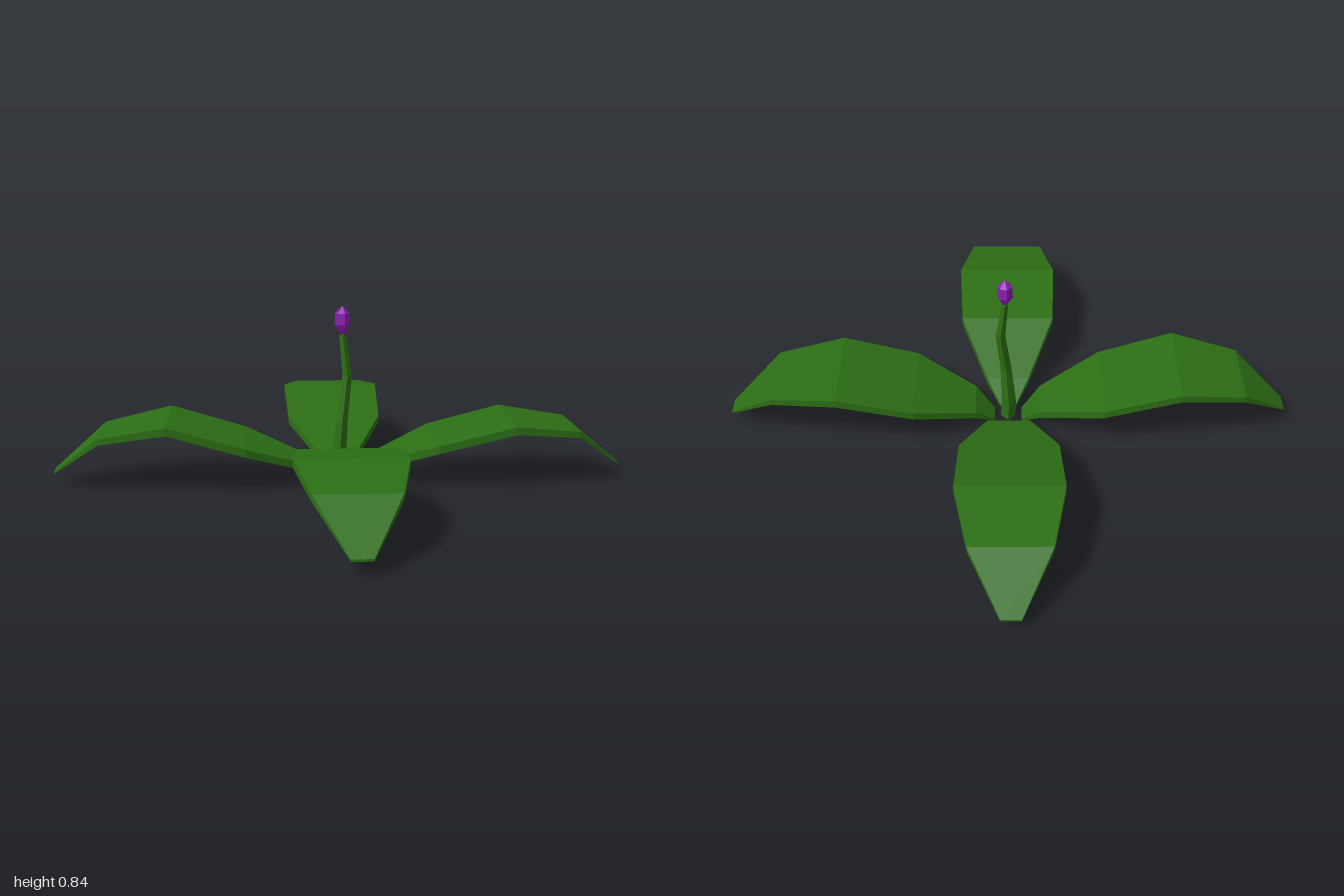
import * as THREE from 'three';

const green = new THREE.MeshStandardMaterial({ color: 0x2c6e14, flatShading: true });
const purple = new THREE.MeshStandardMaterial({ color: 0x8a1cb0, flatShading: true });

// Skins a row of four-cornered rings and closes both ends
function loft(rings) {
  const index = [];
  const quad = (a, b, c, d) => index.push(a, b, c, a, c, d);
  for (let r = 0; r < rings.length - 1; r++) {
    for (let i = 0; i < 4; i++) {
      const j = (i + 1) % 4, n = r * 4;
      quad(n + i, n + j, n + 4 + j, n + 4 + i);
    }
  }
  const e = (rings.length - 1) * 4;
  quad(0, 3, 2, 1);
  quad(e, e + 1, e + 2, e + 3);
  const geo = new THREE.BufferGeometry();
  geo.setAttribute('position', new THREE.Float32BufferAttribute(rings.flat(2), 3));
  geo.setIndex(index);
  const flat = geo.toNonIndexed();
  flat.computeVertexNormals();
  return flat;
}

// Arching slab leaf along +x; bendY and crownY are its heights at two stations
function leafGeometry(bendY, crownY) {
  // distance from centre, half width, top height, thickness
  const sections = [
    [0.066, 0.040, 0.015, 0.015],
    [0.160, 0.103, 0.105, 0.035],
    [0.453, 0.233, bendY, 0.038],
    [0.820, 0.247, crownY, 0.038],
    [1.138, 0.184, 0.262, 0.030],
    [1.366, 0.045, 0.072, 0.010],
  ];
  return loft(sections.map(([d, w, y, t]) => [
    [d, y, -w], [d, y, w], [d, y - t, w], [d, y - t, -w],
  ]));
}

export function createModel() {
  const model = new THREE.Group();
  model.name = 'plant';

  // Four leaves on the diagonals, each with a slightly different arch
  const leaves = [
    ['frontLeftLeaf', -1, 0.27, 0.32],
    ['backLeftLeaf', 1, 0.215, 0.305],
    ['backRightLeaf', 3, 0.21, 0.305],
    ['frontRightLeaf', 5, 0.215, 0.325],
  ];
  for (const [name, quarter, bendY, crownY] of leaves) {
    const leaf = new THREE.Mesh(leafGeometry(bendY, crownY), green);
    leaf.name = name;
    leaf.rotation.y = quarter * Math.PI / 4;
    model.add(leaf);
  }

  // Crooked square stem: centre x, y, z and half width
  const stemPath = [
    [0, 0, 0, 0.026],
    [-0.004, 0.1, 0, 0.025],
    [0.018, 0.29, 0.002, 0.019],
    [0.019, 0.51, -0.034, 0.016],
    [-0.011, 0.705, -0.034, 0.011],
  ];
  const stem = new THREE.Mesh(loft(stemPath.map(([x, y, z, h]) => [
    [x - h, y, z + h], [x + h, y, z + h], [x + h, y, z - h], [x - h, y, z - h],
  ])), green);
  stem.name = 'stem';
  model.add(stem);

  // Faceted flower bud
  const profile = [[0, 0], [0.012, 0.004], [0.038, 0.047], [0.035, 0.103], [0, 0.137]];
  const bud = new THREE.Mesh(
    new THREE.LatheGeometry(profile.map(([r, y]) => new THREE.Vector2(r, y)), 6), purple);
  bud.name = 'flowerBud';
  bud.position.set(-0.012, 0.708, -0.035);
  model.add(bud);

  return model;
}
